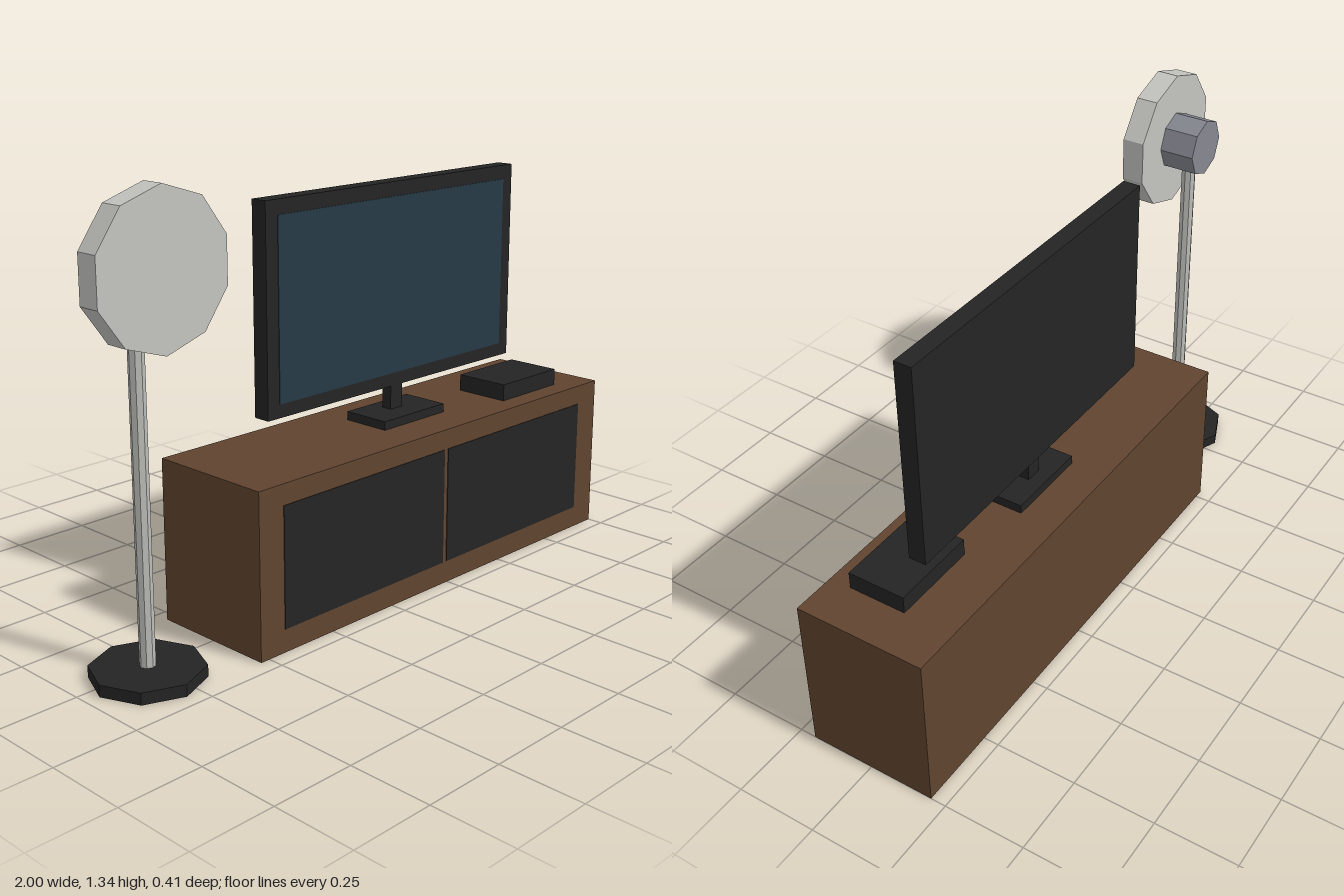
import * as THREE from 'three';

const mat = (name, color) => {
  const m = new THREE.MeshStandardMaterial({ color });
  m.name = name;
  return m;
};

export function createModel() {
  const wood = mat('walnut wood', 0x60442f);
  const black = mat('matte black', 0x242424);
  const glass = mat('dark blue glass', 0x263a47);
  const shell = mat('pale grey plastic', 0xc4c4c0);
  const steel = mat('light steel', 0xbcbcb8);
  const motorGrey = mat('slate grey', 0x858790);
  for (const m of [shell, steel, motorGrey, black]) m.flatShading = true;

  const model = new THREE.Group();
  model.name = 'mediaCornerWithFan';
  const group = (name) => {
    const g = new THREE.Group();
    g.name = name;
    model.add(g);
    return g;
  };
  // Box given by its limits on each axis
  const box = (parent, name, m, [x0, x1], [y0, y1], [z0, z1]) => {
    const mesh = new THREE.Mesh(new THREE.BoxGeometry(x1 - x0, y1 - y0, z1 - z0), m);
    mesh.position.set((x0 + x1) / 2, (y0 + y1) / 2, (z0 + z1) / 2);
    mesh.name = name;
    parent.add(mesh);
  };
  // Faceted cylinder, upright or with its axis along z
  const prism = (parent, name, m, r, h, sides, pos, alongZ = false) => {
    const geo = new THREE.CylinderGeometry(r, r, h, sides);
    if (alongZ) geo.rotateX(-Math.PI / 2);
    const mesh = new THREE.Mesh(geo, m);
    mesh.position.set(...pos);
    mesh.name = name;
    parent.add(mesh);
  };

  // Low cabinet with two dark doors
  const cabinet = group('cabinet');
  box(cabinet, 'cabinetBody', wood, [-0.53, 1], [0, 0.495], [-0.203, 0.2]);
  for (const [name, x] of [['rightDoor', [-0.44, 0.227]], ['leftDoor', [0.243, 0.906]]])
    box(cabinet, name, black, x, [0.07, 0.433], [0.196, 0.202]);

  // Television on its stand
  const tv = group('television');
  box(tv, 'tvCase', black, [-0.305, 0.773], [0.596, 1.222], [-0.056, -0.002]);
  box(tv, 'screen', glass, [-0.26, 0.73], [0.637, 1.178], [-0.006, 0]);
  box(tv, 'standNeck', black, [0.208, 0.26], [0.52, 0.6], [-0.037, -0.003]);
  box(tv, 'standFoot', black, [0.1, 0.369], [0.495, 0.522], [-0.083, 0.073]);

  // Set-top box
  box(model, 'setTopBox', black, [0.594, 0.864], [0.495, 0.548], [-0.048, 0.132]);

  // Pedestal fan
  const fan = group('pedestalFan');
  const x = -0.797, z = 0.043;
  prism(fan, 'fanBase', black, 0.161, 0.035, 8, [x, 0.0175, z]);
  prism(fan, 'fanPole', steel, 0.0225, 1.02, 8, [x, 0.54, z]);
  prism(fan, 'fanMotor', motorGrey, 0.09, 0.111, 8, [x, 1.123, 0.0425], true);
  prism(fan, 'fanHead', shell, 0.214, 0.069, 10, [x, 1.123, 0.1325], true);

  return model;
}
